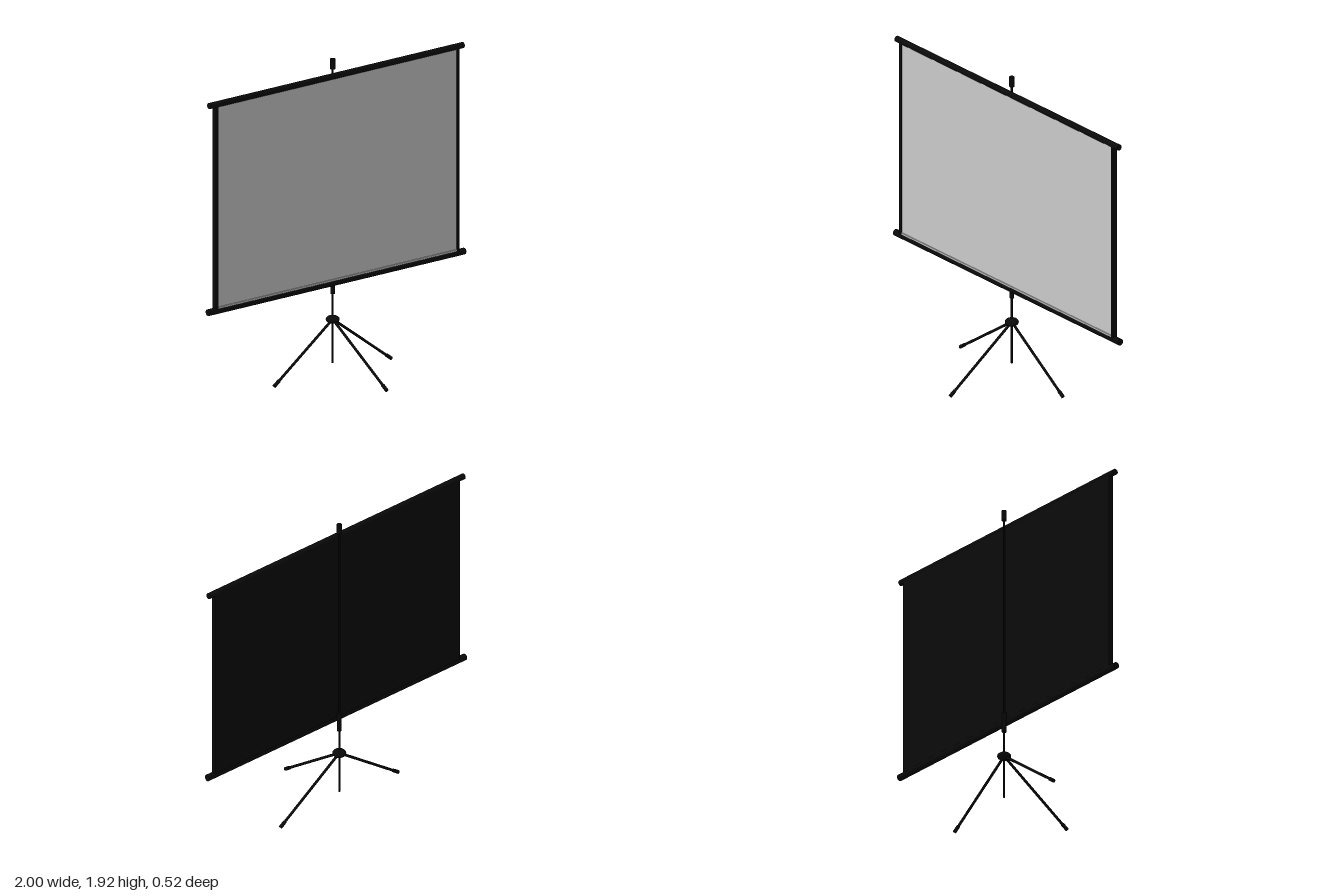
import * as THREE from 'three';

export function createModel() {
  const model = new THREE.Group();
  model.name = 'projectionScreen';
  const black = new THREE.MeshStandardMaterial({ color: 0x0a0a0a });
  const grey = new THREE.MeshStandardMaterial({ color: 0xcccccc });
  const poleZ = -0.222, screenZ = -0.193;

  function add(name, geometry, material, x, y, z) {
    const mesh = new THREE.Mesh(geometry, material);
    mesh.name = name;
    mesh.position.set(x, y, z);
    model.add(mesh);
    return mesh;
  }
  const box = (name, w, h, d, mat, x, y, z) => add(name, new THREE.BoxGeometry(w, h, d), mat, x, y, z);

  // Cylinder running between two points
  function rod(name, a, b, radius) {
    const dir = b.clone().sub(a);
    const mid = a.clone().add(b).multiplyScalar(0.5);
    const mesh = add(name, new THREE.CylinderGeometry(radius, radius, dir.length(), 24), black, mid.x, mid.y, mid.z);
    mesh.quaternion.setFromUnitVectors(new THREE.Vector3(0, 1, 0), dir.normalize());
    return mesh;
  }
  const v = (x, y, z) => new THREE.Vector3(x, y, z);

  // Screen: black backing, raised side borders, grey viewing surface with a lower lip
  box('screenBacking', 1.9, 1.24, 0.018, black, 0, 1.21, screenZ - 0.006);
  for (const s of [-1, 1]) box('sideBorder', 0.018, 1.24, 0.012, black, s * 0.941, 1.21, screenZ + 0.009);
  box('viewingSurface', 1.864, 1.23, 0.006, grey, 0, 1.21, screenZ + 0.006);
  box('lowerLip', 1.864, 0.02, 0.006, grey, 0, 0.595, screenZ + 0.012);

  // Horizontal bars
  rod('topBar', v(-0.99, 1.828, screenZ), v(0.99, 1.828, screenZ), 0.018);
  rod('bottomBar', v(-1, 0.581, screenZ), v(1, 0.581, screenZ), 0.02);

  // Pole with top cap and bracket sleeve
  rod('pole', v(0, 0.085, poleZ), v(0, 1.9, poleZ), 0.006);
  rod('topCap', v(0, 1.862, poleZ), v(0, 1.925, poleZ), 0.015);
  rod('bracketSleeve', v(0, 0.505, poleZ), v(0, 0.627, poleZ), 0.014);

  // Flattened hub of the tripod
  add('tripodHub', new THREE.SphereGeometry(0.041, 32, 20), black, 0, 0.35, poleZ).scale.y = 0.58;

  // Three legs, each with a thicker foot sleeve
  const hub = v(0, 0.35, poleZ);
  for (const end of [v(-0.457, 0.028, poleZ), v(0.457, 0.028, poleZ), v(0, 0.016, 0.252)]) {
    const back = hub.clone().sub(end).normalize().multiplyScalar(0.045).add(end);
    rod('leg', hub, end, 0.008);
    rod('foot', back, end, 0.011);
  }
  return model;
}
